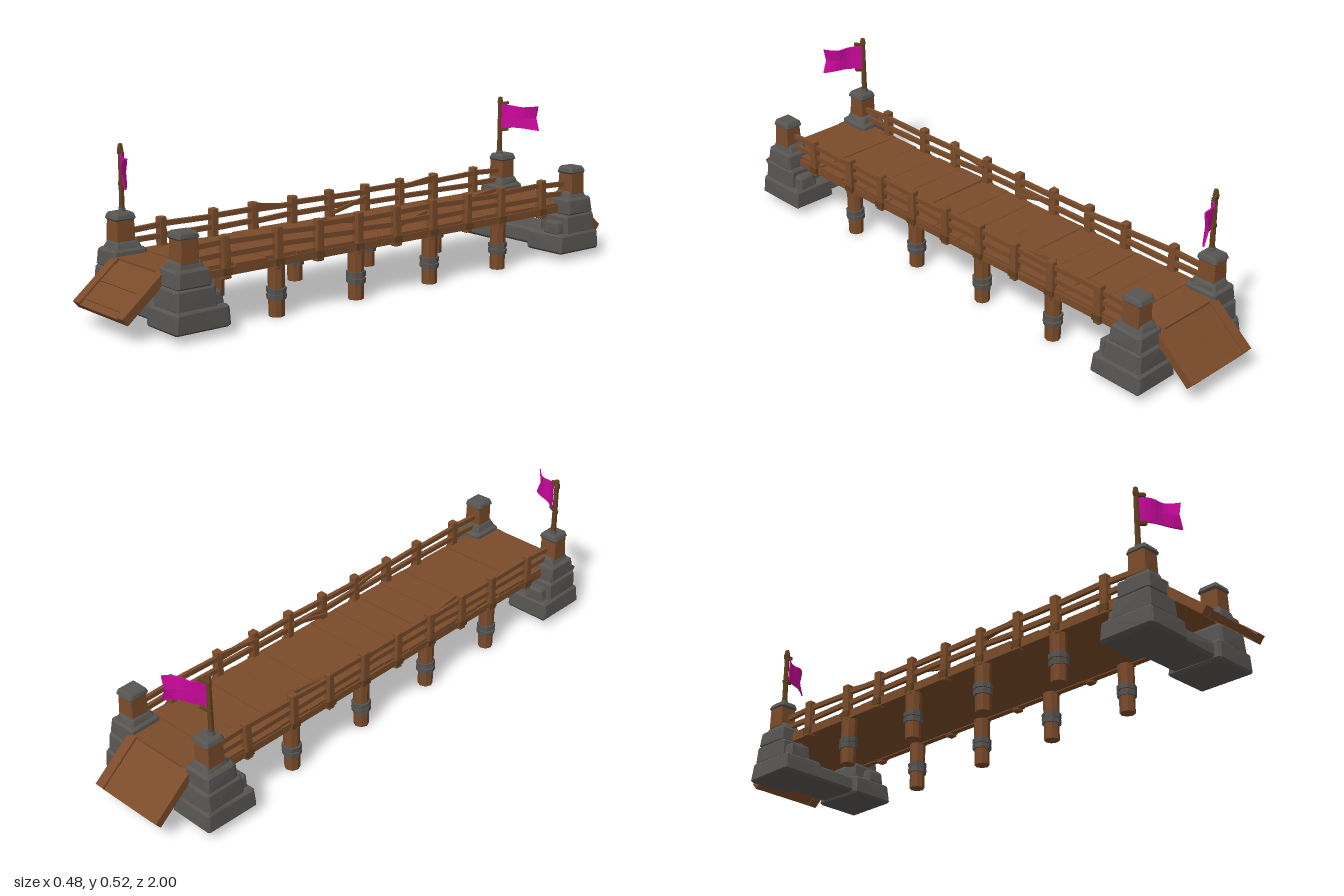
import * as THREE from 'three';
import { ConvexGeometry } from 'three/addons/geometries/ConvexGeometry.js';

const material = (name, color) => Object.assign(new THREE.MeshStandardMaterial({ color, flatShading: true }), { name });

export function createModel() {
  const wood = material('wood', 0x7a4b2a);
  const darkWood = material('darkWood', 0x63401f);
  const stone = material('stone', 0x575552);
  const cloth = material('cloth', 0xc8089a);
  cloth.side = THREE.DoubleSide;

  const model = new THREE.Group();
  model.name = 'woodenBridge';
  let seed = 11;
  const jitter = (a) => {
    seed = (seed * 16807) % 2147483647;
    return (seed / 2147483647 - 0.5) * 2 * a;
  };

  const add = (name, geometry, mat, x = 0, y = 0, z = 0, parent = model) => {
    const mesh = new THREE.Mesh(geometry, mat);
    mesh.name = name;
    mesh.position.set(x, y, z);
    parent.add(mesh);
    return mesh;
  };
  const box = (name, mat, w, h, d, x, y, z, parent) =>
    add(name, new THREE.BoxGeometry(w, h, d), mat, x, y, z, parent);

  // Rough chamfered block between two corners, its top narrowed by taper
  const block = (name, mat, [x0, x1], [y0, y1], [z0, z1], taper = 0.006, c = 0.008, rough = 0.002) => {
    const cx = (x0 + x1) / 2, cy = (y0 + y1) / 2, cz = (z0 + z1) / 2;
    const points = [];
    for (const i of [-1, 1]) for (const j of [-1, 1]) for (const k of [-1, 1]) {
      const t = j > 0 ? taper : 0;
      const hx = Math.abs(x1 - x0) / 2 - t, hy = (y1 - y0) / 2, hz = Math.abs(z1 - z0) / 2 - t;
      for (const [a, b, d] of [[c, c, 0], [c, 0, c], [0, c, c]]) {
        points.push(new THREE.Vector3(
          i * (hx - a) + jitter(rough), j * (hy - b) + jitter(rough / 2), k * (hz - d) + jitter(rough)));
      }
    }
    return add(name, new ConvexGeometry(points), mat, cx, cy, cz);
  };

  // Beam with a square section running between two points
  const beam = (name, mat, a, b, w, h) => {
    const mesh = box(name, mat, w, h, a.distanceTo(b), 0, 0, 0);
    mesh.position.copy(a).lerp(b, 0.5);
    mesh.lookAt(b);
    return mesh;
  };
  const V = (x, y, z) => new THREE.Vector3(x, y, z);

  // Deck: solid core with cross planks of uneven ends
  box('deckCore', wood, 0.32, 0.018, 1.71, 0, 0.171, 0);
  const planks = 15, step = 1.72 / planks;
  for (let i = 0; i < planks; i++) {
    const p = box('deckPlank', wood, 0.338 + jitter(0.006), 0.014, step - 0.002,
      jitter(0.003), 0.185 + jitter(0.0015), -0.86 + step * (i + 0.5));
    p.rotation.z = jitter(0.008);
  }

  // Railings with posts, two rails, and side beams
  const stations = [0.77, 0.665, 0.472, 0.316, 0.158, 0, -0.155, -0.312, -0.467, -0.662, -0.77];
  for (const s of [-1, 1]) {
    box('sideBeam', wood, 0.022, 0.024, 1.56, s * 0.163, 0.17, 0);
    for (const z of stations.slice(1, -1)) {
      const post = block('railPost', wood, [s * 0.155, s * 0.183], [0.15, 0.282], [z - 0.014, z + 0.014], 0.001, 0.003, 0.001);
      post.rotation.x = jitter(0.03);
      box('postFoot', darkWood, 0.034, 0.022, 0.034, s * 0.167, 0.172, z);
    }
    for (const y of [0.258, 0.222]) {
      for (let i = 0; i < stations.length - 1; i++) {
        beam('rail', wood, V(s * 0.164, y + jitter(0.005), stations[i] + 0.008),
          V(s * 0.164, y + jitter(0.005), stations[i + 1] - 0.008), 0.013, 0.016);
      }
    }
    // Loose slanting rails
    for (const [z0, z1, y0, y1] of [[0.32, 0.16, 0.275, 0.25], [0, -0.15, 0.205, 0.24], [-0.31, -0.47, 0.255, 0.274]]) {
      beam('looseRail', wood, V(s * 0.154, y0, z0), V(s * 0.154, y1, z1), 0.01, 0.012);
    }
  }

  // Piles with bands
  for (const s of [-1, 1]) for (const z of [0.47, 0.157, -0.155, -0.467]) {
    add('pile', new THREE.CylinderGeometry(0.027, 0.025, 0.165, 8), wood, s * 0.158, 0.0825, z);
    for (const y of [0.062, 0.082]) {
      const band = add('pileBand', new THREE.CylinderGeometry(0.032, 0.031, 0.017, 8), stone, s * 0.158, y, z);
      band.rotation.z = jitter(0.08);
    }
  }

  for (const e of [-1, 1]) {
    const zr = (a, b) => [e * a, e * b];

    // Stone footing joining both piers
    block('footing', stone, [-0.13, 0.13], [0.034, 0.09], zr(0.71, 0.865));

    for (const s of [-1, 1]) {
      const xr = (a, b) => [s * a, s * b];
      // Stepped stone pier
      block('pierBase', stone, xr(0.075, 0.24), [0.024, 0.092], zr(0.692, 0.887), 0.004);
      block('pierMiddle', stone, xr(0.1, 0.229), [0.085, 0.155], zr(0.73, 0.876), 0.003);
      block('pierTop', stone, xr(0.116, 0.223), [0.15, 0.209], zr(0.745, 0.868), 0.004);
      block('pierStep', stone, xr(0.14, 0.215), [0.085, 0.135], zr(0.7, 0.76), 0.004);
      block('pierCollar', stone, xr(0.128, 0.207), [0.2, 0.232], zr(0.76, 0.855), 0.006);
      // Timber pillar and stone cap
      block('pillar', wood, xr(0.139, 0.203), [0.22, 0.3], zr(0.777, 0.843), 0.002, 0.003, 0.0008);
      block('pillarCap', stone, xr(0.135, 0.205), [0.292, 0.316], zr(0.773, 0.847), 0.004, 0.006, 0.001);
    }

    // Sloping ramp with raised edge boards and end boards
    const ramp = new THREE.Group();
    ramp.name = 'ramp';
    ramp.position.set(0, 0.122, e * 0.92);
    ramp.rotation.x = e * 0.69;
    model.add(ramp);
    box('rampBoard', wood, 0.22, 0.018, 0.184, 0, 0, 0, ramp);
    for (const y of [-0.036, 0.036]) box('rampPlank', wood, 0.205, 0.005, 0.066, 0, 0.0095, y, ramp);
    for (const s of [-1, 1]) box('rampEdge', wood, 0.034, 0.028, 0.182, s * 0.121, 0.002, 0, ramp);

    // Flag pole with two short arms
    const px = -0.175, pz = e * 0.8;
    add('flagPole', new THREE.CylinderGeometry(0.008, 0.0095, 0.205, 6), darkWood, px, 0.412, pz);
    add('poleFoot', new THREE.CylinderGeometry(0.011, 0.013, 0.014, 6), stone, px, 0.321, pz);
    add('poleKnob', new THREE.CylinderGeometry(0.007, 0.011, 0.02, 6), darkWood, px, 0.512, pz);
    for (const y of [0.403, 0.499]) {
      beam('flagArm', darkWood, V(px - 0.008, y - 0.004, pz), V(px + 0.028, y + 0.004, pz + e * 0.012), 0.011, 0.011);
    }

    // Waving flag with a notched end
    const flag = new THREE.BoxGeometry(1, 1, 0.006, 8, 4, 1);
    const p = flag.attributes.position;
    for (let i = 0; i < p.count; i++) {
      const u = p.getX(i) + 0.5, v = p.getY(i);
      const notch = 0.012 * (1 - 2 * Math.abs(v)) * u * u;
      p.setXYZ(i,
        -0.163 + 0.115 * u - notch - v * 0.006 * u,
        0.453 + v * (0.088 - 0.012 * Math.sin(Math.PI * u)) - 0.002 * u,
        e * (0.797 + 0.068 * u + 0.012 * Math.sin(u * 6.5) * (0.6 + 0.5 * v)) + p.getZ(i));
    }
    flag.computeVertexNormals();
    add('flag', flag, cloth);
  }
  return model;
}
